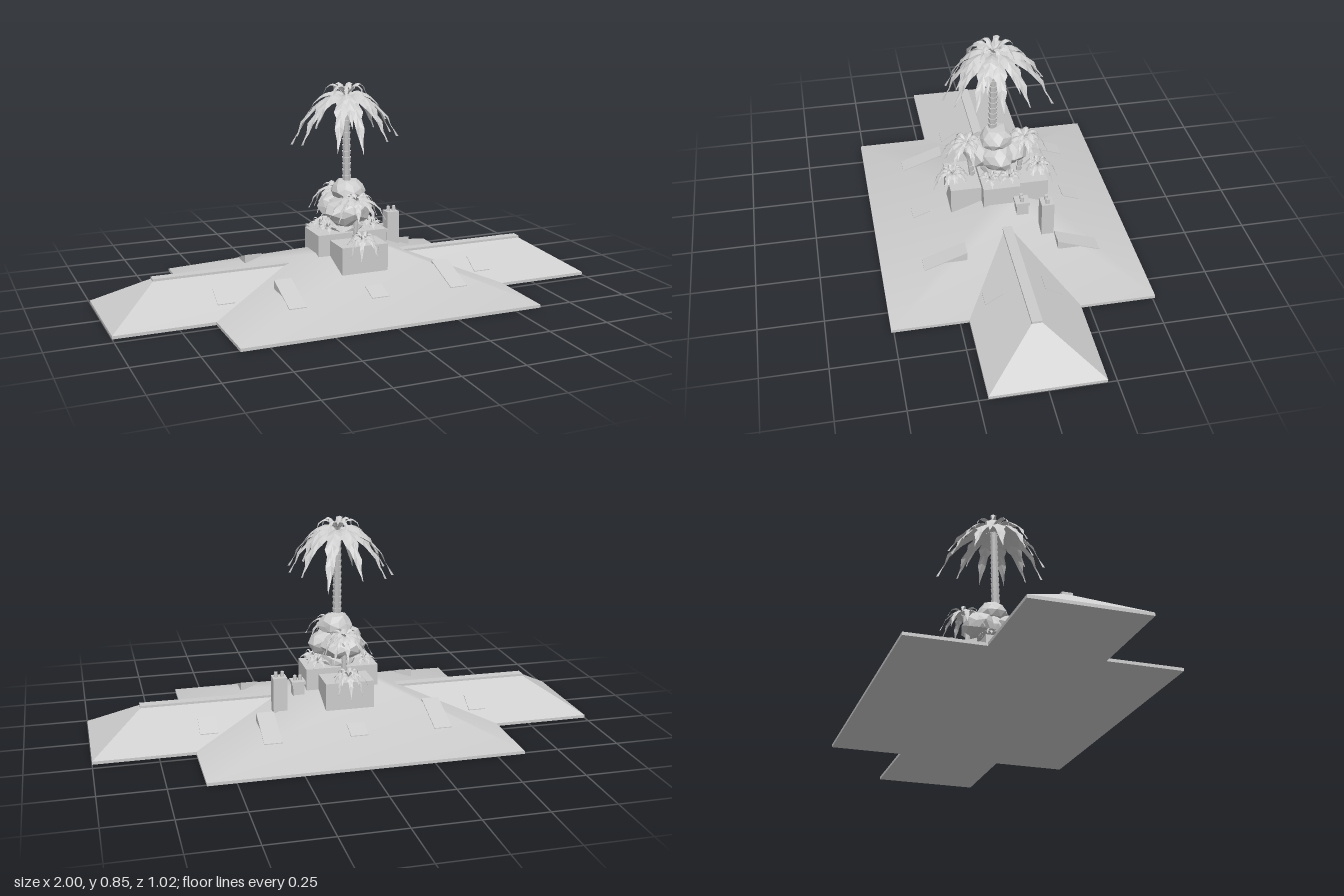
import * as THREE from 'three';
import { mergeVertices, mergeGeometries } from 'three/addons/utils/BufferGeometryUtils.js';

const stone = new THREE.MeshStandardMaterial({ color: 0xcccccc, side: THREE.DoubleSide });
stone.name = 'pale grey';

let seed = 7;
const rand = () => (seed = (seed * 16807) % 2147483647) / 2147483647;

function flat(geo) {
  const g = geo.index ? geo.toNonIndexed() : geo;
  g.computeVertexNormals();
  return g;
}

function add(parent, name, geo, x = 0, y = 0, z = 0) {
  const m = new THREE.Mesh(geo, stone);
  m.name = name;
  m.position.set(x, y, z);
  parent.add(m);
  return m;
}

// Box given by its limits
function block(parent, name, x0, x1, y0, y1, z0, z1) {
  const g = new THREE.BoxGeometry(x1 - x0, y1 - y0, z1 - z0);
  return add(parent, name, g, (x0 + x1) / 2, (y0 + y1) / 2, (z0 + z1) / 2);
}

// Hipped roof: base half sizes at y0, top half sizes at y1
function hipRoof(bx, bz, y0, tx, tz, y1) {
  const p = [];
  for (const [x, z, y] of [[bx, bz, y0], [tx, tz, y1]])
    p.push(-x, y, z, x, y, z, x, y, -z, -x, y, -z);
  const index = [4, 5, 6, 4, 6, 7];
  for (let i = 0; i < 4; i++) {
    const j = (i + 1) % 4;
    index.push(i, j, j + 4, i, j + 4, i + 4);
  }
  const g = new THREE.BufferGeometry();
  g.setAttribute('position', new THREE.Float32BufferAttribute(p, 3));
  g.setIndex(index);
  g.computeVertexNormals();
  return g;
}

// Thin hatch following a roof slope, y = f(z), mirrored by side
function hatch(parent, x, z0, z1, f, side, depth) {
  const g = new THREE.BoxGeometry(0.07, 1, 1);
  const p = g.attributes.position;
  for (let i = 0; i < p.count; i++) {
    const z = p.getZ(i) > 0 ? z1 : z0;
    p.setXYZ(i, p.getX(i) + x, f(z) + (p.getY(i) > 0 ? 0.003 : -depth), z);
  }
  if (side < 0) g.rotateY(Math.PI);
  add(parent, 'roofHatch', flat(g));
}

// Folded, arching leaf with a jagged edge, pointing along +x
function frond(len, rise, drop, width) {
  const curve = new THREE.QuadraticBezierCurve(
    new THREE.Vector2(0, 0), new THREE.Vector2(len * 0.6, rise * 2), new THREE.Vector2(len, -drop));
  const n = 8, p = [], index = [];
  for (let i = 0; i <= n; i++) {
    const t = i / n, s = curve.getPoint(t);
    let w = width * Math.min(1, 0.25 + 2.2 * t) * Math.pow(1 - t, 0.7) * 1.3;
    if (i % 2) w *= 0.72;
    const lean = i % 2 ? 0 : len * 0.05;
    p.push(s.x, s.y, 0);
    for (const k of [1, -1]) p.push(s.x + lean, s.y - w * 0.45, k * w);
    if (i < n) {
      const a = i * 3, b = a + 3;
      index.push(a, a + 1, b + 1, a, b + 1, b, a, b + 2, a + 2, a, b, b + 2);
    }
  }
  const g = new THREE.BufferGeometry();
  g.setAttribute('position', new THREE.Float32BufferAttribute(p, 3));
  g.setIndex(index);
  return flat(g);
}

// Rings of fronds; each ring is [count, length, rise, drop, half width]
function crown(parent, name, rings, x, y, z) {
  const leaves = [];
  rings.forEach(([count, len, rise, drop, width], r) => {
    for (let i = 0; i < count; i++) {
      const k = 0.85 + rand() * 0.3;
      const g = frond(len * k, rise, drop * (0.85 + rand() * 0.3), width);
      g.rotateY(((i + r * 0.4 + rand() * 0.3) / count) * Math.PI * 2);
      leaves.push(g);
    }
  });
  add(parent, name, mergeGeometries(leaves), x, y, z);
}

// Trunk of flaring rings
function trunk(parent, name, x, y0, y1, z, r, count, lean = 0) {
  const h = (y1 - y0) / count, g = new THREE.Group();
  g.name = name;
  for (let i = 0; i < count; i++) {
    const k = 1 - 0.2 * (i / count);
    add(g, 'trunkRing', flat(new THREE.CylinderGeometry(r * k, r * k * 0.78, h, 8)),
      x, y0 + h * (i + 0.5), z + lean * (i / count));
  }
  parent.add(g);
}

function rock(parent, x, y, z, sx, sy, sz) {
  let g = new THREE.IcosahedronGeometry(1, 1);
  g.deleteAttribute('uv');
  g.deleteAttribute('normal');
  g = mergeVertices(g, 1e-3);
  const p = g.attributes.position;
  for (let i = 0; i < p.count; i++) {
    const k = 0.86 + rand() * 0.22;
    p.setXYZ(i, p.getX(i) * k * sx, p.getY(i) * k * sy, p.getZ(i) * k * sz);
  }
  add(parent, 'boulder', flat(g), x, y, z);
}

function chimney(parent, x0, x1, y0, y1, z0, z1, cap) {
  const g = new THREE.Group();
  g.name = 'chimney';
  block(g, 'stack', x0, x1, y0, y1, z0, z1);
  if (cap) block(g, 'chimneyCap', x0 - cap, x1 + cap, y1 - 0.012, y1, z0 - cap, z1 + cap);
  for (const k of [0.27, 0.73])
    add(g, 'chimneyPot', new THREE.CylinderGeometry(0.007, 0.008, 0.02, 10),
      x0 + (x1 - x0) * k, y1 + 0.01, (z0 + z1) / 2);
  parent.add(g);
}

export function createModel() {
  const model = new THREE.Group();
  model.name = 'roofGarden';

  // Cross-shaped eaves slab
  const X = 1, W = 0.215, M = 0.61, D = 0.51;
  const plan = new THREE.Shape([[X, -W], [X, W], [M, W], [M, D], [-M, D], [-M, W],
    [-X, W], [-X, -W], [-M, -W], [-M, -D], [M, -D], [M, -W]].map(([x, y]) => new THREE.Vector2(x, y)));
  const slab = new THREE.ExtrudeGeometry(plan, { depth: 0.012, bevelEnabled: false });
  add(model, 'eaves', slab.rotateX(-Math.PI / 2));

  // Roofs
  add(model, 'mainRoof', hipRoof(M, D, 0.012, 0.15, 0.05, 0.18));
  add(model, 'wingRoof', flat(hipRoof(X, W, 0.012, 0.8, 0.02, 0.135)));
  block(model, 'wingRidge', -0.8, 0.8, 0.13, 0.144, -0.02, 0.02);

  // Roof hatches
  const mainSlope = z => 0.012 + (D - z) * 0.365;
  const wingSlope = z => 0.012 + (W - z) * 0.631;
  for (const side of [1, -1]) {
    hatch(model, 0, 0.28, 0.35, mainSlope, side, 0.01);
    for (const k of [1, -1]) {
      hatch(model, k * 0.335, 0.18, 0.35, mainSlope, side, 0.03);
      hatch(model, k * 0.55, 0.08, 0.15, wingSlope, side, 0.01);
    }
  }

  // Chimneys
  chimney(model, 0.245, 0.3, 0.1, 0.267, -0.178, -0.128, 0);
  chimney(model, 0.16, 0.205, 0.14, 0.218, -0.096, -0.048, 0.005);

  // Planters
  block(model, 'longPlanter', -0.097, 0.097, 0.12, 0.235, -0.2, 0.2);
  block(model, 'widePlanter', -0.147, 0.147, 0.12, 0.258, -0.075, 0.075);

  // Boulders
  rock(model, 0, 0.27, 0, 0.07, 0.05, 0.065);
  rock(model, 0.02, 0.345, 0, 0.1, 0.065, 0.075);
  rock(model, -0.02, 0.345, 0.07, 0.09, 0.06, 0.072);
  rock(model, -0.01, 0.345, -0.06, 0.09, 0.06, 0.068);
  rock(model, 0.01, 0.415, 0, 0.07, 0.05, 0.07);

  // Tall palm
  trunk(model, 'tallPalmTrunk', 0, 0.43, 0.8, 0.012, 0.02, 15, -0.008);
  crown(model, 'tallPalmCrown', [
    [11, 0.22, 0.02, 0.17, 0.036],
    [8, 0.16, 0.035, 0.09, 0.034],
    [7, 0.085, 0.055, 0.0, 0.016],
  ], 0, 0.79, 0.005);

  // Small palms and trailing plants at both ends
  for (const s of [1, -1]) {
    trunk(model, 'smallPalmTrunk', 0, 0.23, 0.39, s * 0.098, 0.013, 6, s * 0.02);
    crown(model, 'smallPalmCrown', [
      [9, 0.1, 0.02, 0.075, 0.02],
      [6, 0.06, 0.03, 0.01, 0.013],
    ], 0, 0.395, s * 0.118);
    crown(model, 'trailingPlant', [
      [9, 0.075, 0.025, 0.055, 0.017],
      [5, 0.045, 0.035, 0.0, 0.01],
    ], 0, 0.247, s * 0.178);
    for (const k of [1, -1])
      crown(model, 'tuft', [
        [7, 0.05, 0.018, 0.008, 0.013],
        [4, 0.03, 0.03, 0, 0.008],
      ], k * 0.095, 0.272, s * 0.04);
  }
  return model;
}
